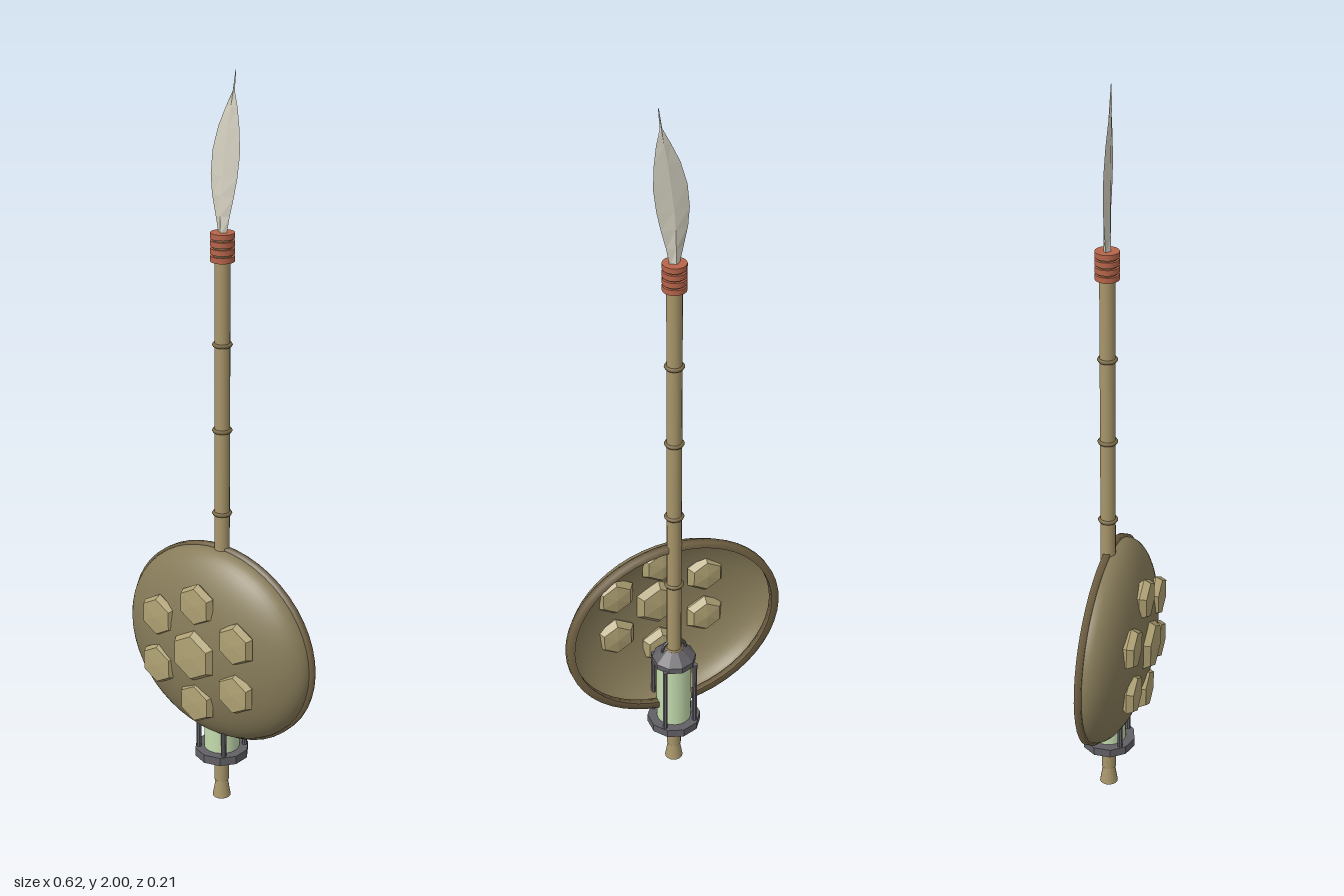
import * as THREE from 'three';

const mat = (color, extra = {}) => new THREE.MeshStandardMaterial({ color, ...extra });
const bamboo = mat(0xa8966a);
const nodeBrown = mat(0x7d6c48);
const hide = mat(0x887c5a, { side: THREE.DoubleSide });
const rimBrown = mat(0x746446);
const plate = mat(0xb0a274, { flatShading: true });
const red = mat(0xb8654a);
const bone = mat(0xd8d4c4, { flatShading: true, side: THREE.DoubleSide });
const iron = mat(0x626065, { flatShading: true });
const glass = mat(0xc4dcae);

const AXIS_Z = -0.03; // depth of the shaft and lantern axis
const v2 = (pts) => pts.map(([x, y]) => new THREE.Vector2(x, y));

function add(parent, name, geometry, material, x = 0, y = 0, z = 0) {
  const mesh = new THREE.Mesh(geometry, material);
  mesh.name = name;
  mesh.position.set(x, y, z);
  parent.add(mesh);
  return mesh;
}

function part(parent, name) {
  const group = new THREE.Group();
  group.name = name;
  parent.add(group);
  return group;
}

const rod = (r0, r1, y0, y1, sides = 16) =>
  new THREE.CylinderGeometry(r1, r0, y1 - y0, sides).translate(0, (y0 + y1) / 2, 0);

// Leaf blade: diamond cross-sections [y, left x, right x, half thickness]
function bladeGeometry() {
  const rows = [
    [1.59, -0.012, 0.012, 0.010], [1.64, -0.023, 0.022, 0.009], [1.69, -0.034, 0.035, 0.008],
    [1.74, -0.038, 0.046, 0.007], [1.80, -0.032, 0.054, 0.006], [1.86, -0.014, 0.052, 0.005],
    [1.91, 0.010, 0.046, 0.004], [1.95, 0.031, 0.037, 0.003], [2.0, 0.039, 0.041, 0.001],
  ];
  const ring = ([y, l, r, t]) => {
    const m = (l + r) / 2;
    return [[l, y, 0], [m, y, t], [r, y, 0], [m, y, -t]];
  };
  const pos = [];
  for (let i = 0; i < rows.length - 1; i++) {
    const a = ring(rows[i]), b = ring(rows[i + 1]);
    for (let k = 0; k < 4; k++) {
      const n = (k + 1) % 4;
      pos.push(...a[k], ...a[n], ...b[n], ...a[k], ...b[n], ...b[k]);
    }
  }
  const geo = new THREE.BufferGeometry();
  geo.setAttribute('position', new THREE.Float32BufferAttribute(pos, 3));
  geo.computeVertexNormals();
  return geo;
}

function buildSpear(root) {
  const spear = part(root, 'spear');
  spear.position.z = AXIS_Z;
  add(spear, 'shaft', rod(0.02, 0.02, 0.05, 1.54), bamboo);
  add(spear, 'buttCap', rod(0.025, 0.015, 0, 0.06), bamboo);
  // Bamboo joints
  for (const y of [0.4, 0.625, 0.85, 1.08, 1.31]) {
    add(spear, 'shaftJoint', new THREE.TorusGeometry(0.021, 0.0055, 6, 20).rotateX(Math.PI / 2), nodeBrown, 0, y);
  }
  // Cord binding below the blade
  add(spear, 'bindingCore', rod(0.025, 0.025, 1.53, 1.598), nodeBrown);
  for (let i = 0; i < 4; i++) {
    const y = 1.526 + i * 0.0195;
    add(spear, 'bindingCord', rod(0.031, 0.031, y, y + 0.0145), red);
  }
  add(spear, 'blade', bladeGeometry(), bone);
}

function buildShield(root) {
  const shield = part(root, 'shield');
  shield.position.y = 0.477;
  // Slightly oval domed shell, open at the back
  const bowl = [];
  for (let i = 0; i <= 16; i++) {
    const a = (i / 16) * Math.PI / 2;
    bowl.push(new THREE.Vector2(0.302 * Math.cos(a), -0.022 + 0.108 * Math.sin(a)));
  }
  bowl[16].x = 0;
  const shell = add(shield, 'shieldShell', new THREE.LatheGeometry(bowl, 48).rotateX(Math.PI / 2), hide);
  const rimProfile = v2([[0.288, -0.038], [0.309, -0.038], [0.309, -0.02], [0.288, -0.02], [0.288, -0.038]]);
  const rim = add(shield, 'shieldRim', new THREE.LatheGeometry(rimProfile, 48).rotateX(Math.PI / 2), rimBrown);
  shell.scale.y = rim.scale.y = 0.9;

  // Hexagonal studs that pass through the shell
  const stud = (r, x, y, z) => {
    const profile = v2([[0, -0.022], [r * 0.75, -0.017], [r, 0], [r * 0.85, 0.018], [0, 0.021]]);
    const geo = new THREE.LatheGeometry(profile, 6).rotateX(Math.PI / 2);
    add(shield, 'hexStud', geo, plate, x, y, z);
  };
  stud(0.073, 0, 0, 0.083);
  for (let i = 0; i < 6; i++) {
    const a = Math.PI / 6 + (i * Math.PI) / 3;
    stud(0.06, 0.153 * Math.cos(a), 0.143 * Math.sin(a), 0.068);
  }
}

function buildLantern(root) {
  const lantern = part(root, 'lantern');
  lantern.position.z = AXIS_Z;
  add(lantern, 'lanternBase', rod(0.074, 0.074, 0.133, 0.157, 10).rotateY(Math.PI), iron);
  add(lantern, 'lanternGlass', rod(0.048, 0.048, 0.157, 0.37, 20), glass);
  add(lantern, 'lanternCapBand', rod(0.06, 0.06, 0.355, 0.372, 10).rotateY(Math.PI), iron);
  add(lantern, 'lanternCap', rod(0.06, 0.026, 0.372, 0.402, 10).rotateY(Math.PI), iron);
  // Four corner bars
  for (let i = 0; i < 4; i++) {
    const a = Math.PI / 4 + (i * Math.PI) / 2;
    add(lantern, 'lanternBar', rod(0.007, 0.007, 0.157, 0.36, 8), iron, 0.062 * Math.cos(a), 0, 0.062 * Math.sin(a));
  }
  // Carrying loop
  add(lantern, 'lanternHandle', new THREE.TorusGeometry(0.034, 0.004, 6, 20, Math.PI), iron, 0, 0.395);
}

export function createModel() {
  const root = new THREE.Group();
  root.name = 'spearWithShieldAndLantern';
  buildSpear(root);
  buildShield(root);
  buildLantern(root);
  return root;
}
